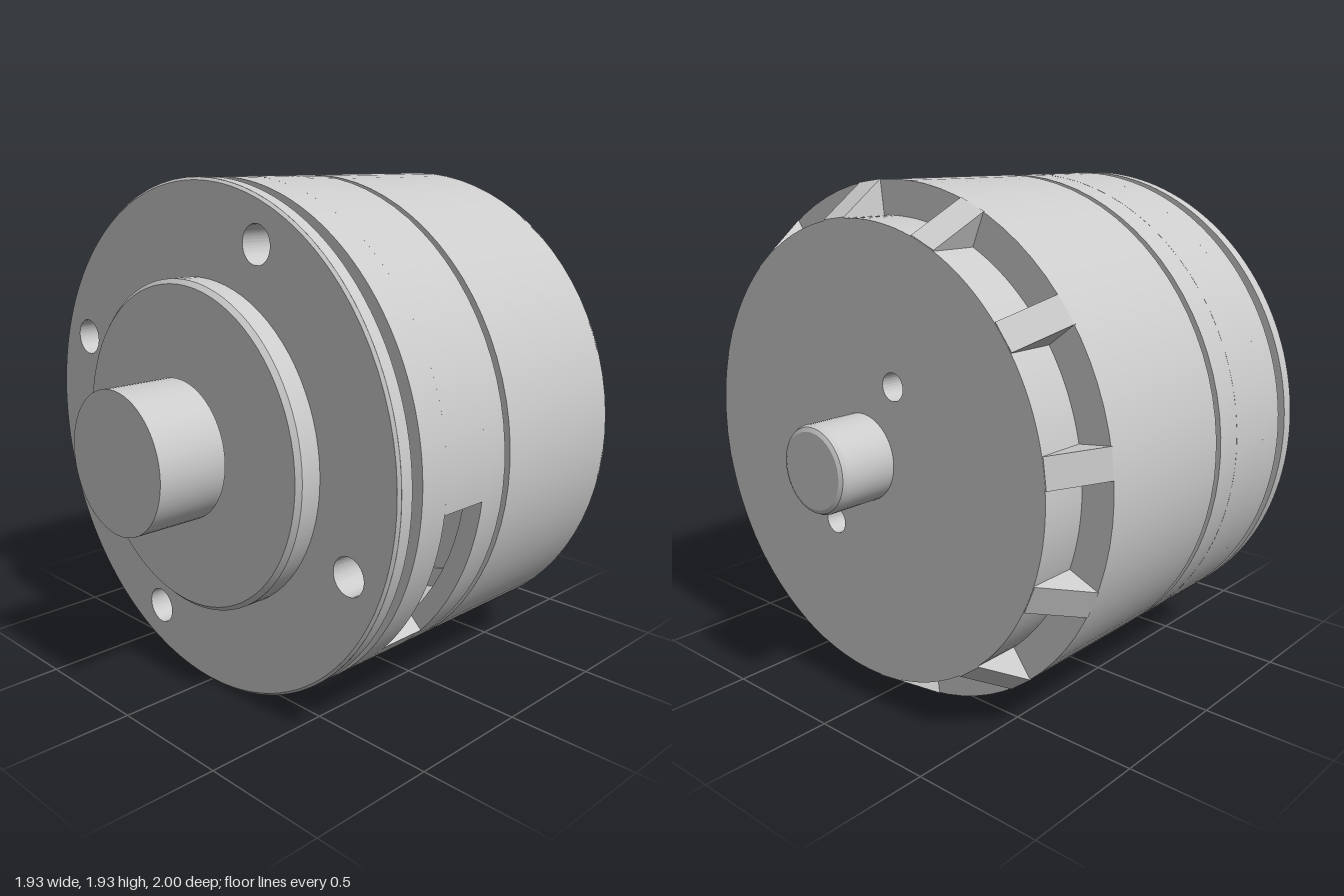
import * as THREE from 'three';
import { toCreasedNormals } from 'three/addons/utils/BufferGeometryUtils.js';

const R = 0.965;      // outer radius of the housing
const WALL = 0.89;    // inner radius of the housing
const rad = THREE.MathUtils.degToRad;
const material = new THREE.MeshStandardMaterial({ color: 0xcccccc });

export function createModel() {
  const model = new THREE.Group();
  model.name = 'motor';
  model.position.y = 0.967;

  const add = (name, geometry) => {
    const mesh = new THREE.Mesh(toCreasedNormals(geometry, 0.35), material);
    mesh.name = name;
    model.add(mesh);
    return mesh;
  };

  // Turned part on the z axis; points are [radius, z], outer side listed back to front
  const turned = (name, points, segments = 80) => {
    const profile = points.map(([r, z]) => new THREE.Vector2(r, z));
    return add(name, new THREE.LatheGeometry(profile, segments).rotateX(Math.PI / 2));
  };

  // Flat shape extruded from z0 to z1
  const slab = (name, shape, z0, z1) => add(name, new THREE.ExtrudeGeometry(shape, {
    depth: z1 - z0, bevelEnabled: false, curveSegments: 80,
  }).translate(0, 0, z0));

  // Disc with round holes, each [x, y, radius]
  const disc = (r, holes) => {
    const shape = new THREE.Shape().absarc(0, 0, r, 0, Math.PI * 2);
    for (const [x, y, hr] of holes) {
      shape.holes.push(new THREE.Path().absarc(x, y, hr, 0, Math.PI * 2, true));
    }
    return shape;
  };

  // Hollow housing with the narrow groove between its two halves
  turned('housing', [
    [0.8, -0.585], [R, -0.585], [R, 0.035], [0.92, 0.035], [0.92, 0.065], [R, 0.065],
    [R, 0.18], [WALL, 0.18], [WALL, -0.56], [0.8, -0.56], [0.8, -0.585],
  ]);

  // Wall pieces that leave two cable slots open at the lower left side
  for (const [a, b] of [[-6, 268.5], [-54.6, -43]]) {
    const arc = new THREE.Shape();
    arc.absarc(0, 0, R, rad(a), rad(b), false);
    arc.absarc(0, 0, WALL, rad(b), rad(a), true);
    slab('slotWall', arc, 0.18, 0.38);
  }

  // Front mounting plate with a groove round its edge and four bolt holes
  const boltHoles = [67.5, 157.5, 247.5, 337.5].map((a) =>
    [0.81 * Math.cos(rad(a)), 0.81 * Math.sin(rad(a)), 0.07]);
  slab('frontPlateInner', disc(R, boltHoles), 0.38, 0.5);
  slab('frontPlateGroove', disc(0.893, boltHoles), 0.5, 0.55);
  slab('frontPlate', disc(R, boltHoles), 0.55, 0.6);
  slab('frontPlateFace', disc(R - 0.01, boltHoles), 0.6, 0.61);
  turned('frontPlateChamfer', [[R - 0.012, 0.6], [R, 0.6], [R - 0.01, 0.61], [R - 0.012, 0.61]]);

  // Front flange, neck and hub
  turned('frontFlange', [[0, 0.6], [0.615, 0.6], [0.615, 0.69], [0.598, 0.707], [0, 0.707]]);
  turned('neck', [[0.115, 0.7], [0.115, 0.73]], 40);
  turned('frontHub', [[0, 0.725], [0.263, 0.725], [0.263, 1], [0, 1]], 64);

  // Core tube inside the housing
  turned('coreTube', [[0.25, -0.57], [0.25, 0.39]], 64);

  // Rear plate with two small holes beside the shaft
  slab('rearPlate', disc(0.84, [[-0.165, 0.28, 0.05], [0.165, -0.28, 0.05]]), -0.77, -0.57);

  // Sloping ribs round the rear plate, with open pockets between them
  const ribWidth = 0.11;
  const ribShape = new THREE.Shape([
    [0.8, -0.769], [0.842, -0.769], [R, -0.585], [R, -0.58], [0.8, -0.58],
  ].map(([r, z]) => new THREE.Vector2(r, z)));
  for (let i = 0; i < 12; i++) {
    add('rearRib', new THREE.ExtrudeGeometry(ribShape, { depth: ribWidth, bevelEnabled: false })
      .rotateX(Math.PI / 2)
      .translate(0, ribWidth / 2, 0)
      .rotateZ(rad(82.5 + 30 * i)));
  }

  // Rear shaft with a rounded end
  turned('rearShaft', [
    [0, -1], [0.138, -1], [0.153, -0.993], [0.16, -0.978], [0.16, -0.76],
  ], 48);

  const root = new THREE.Group();
  root.add(model);
  return root;
}
